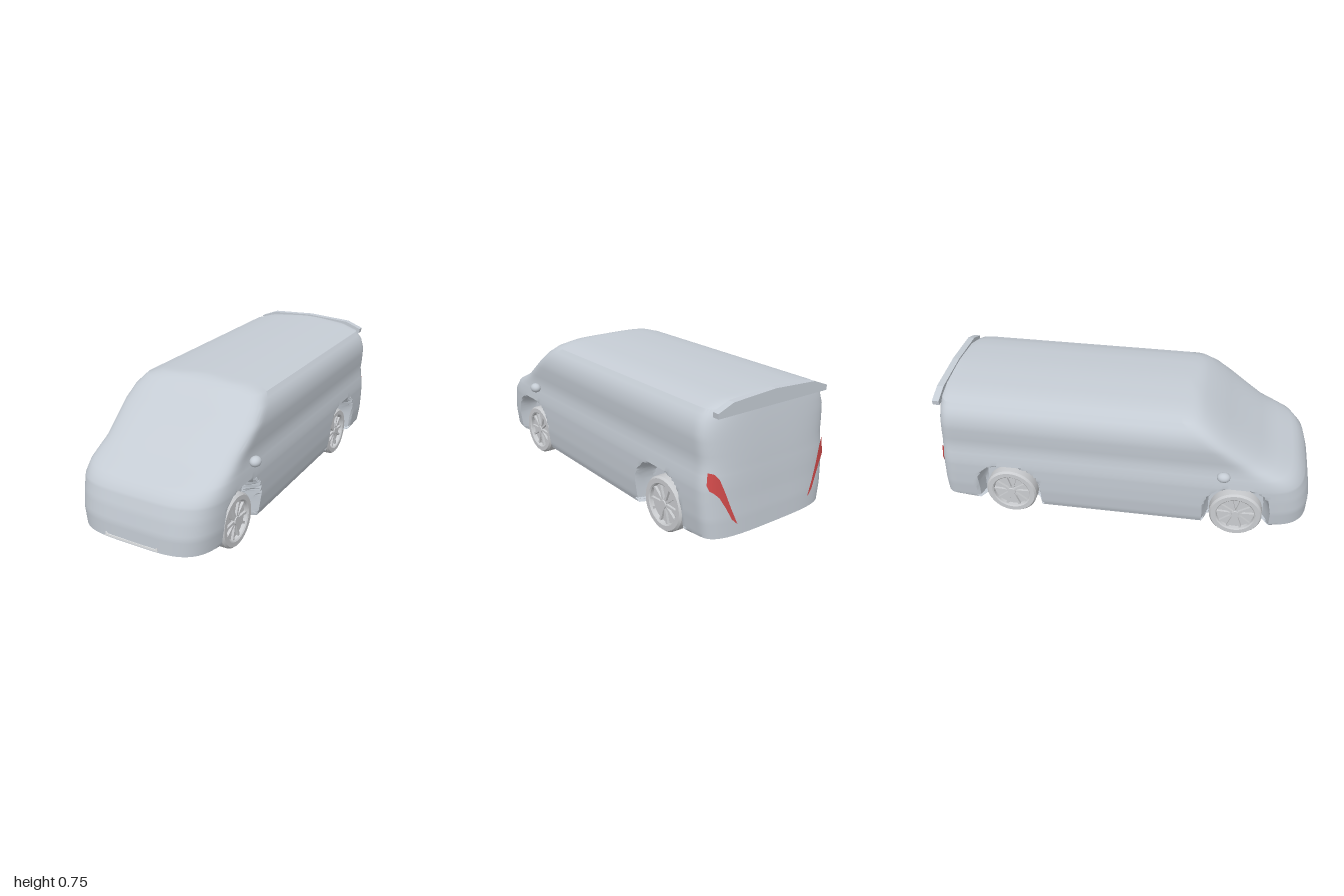
import * as THREE from 'three';
import { toCreasedNormals } from 'three/addons/utils/BufferGeometryUtils.js';

const paint = new THREE.MeshStandardMaterial({ color: 0xc5ccd4 });
paint.name = 'silver paint';
const wheelGrey = new THREE.MeshStandardMaterial({ color: 0xcacccf, side: THREE.DoubleSide });
wheelGrey.name = 'wheel grey';
const red = new THREE.MeshStandardMaterial({ color: 0xd04a4a, side: THREE.DoubleSide });
red.name = 'tail light red';
const pale = new THREE.MeshStandardMaterial({ color: 0xf2f4f6 });
pale.name = 'pale trim';

const AXLES = [0.615, -0.605];
const REAR_CORNER = 0.12;

// Horizontal slices: height, front z, rear z, half width, front corner length
const LEVELS = [
  [0.085, 0.88, -0.82, 0.357, 0.3],
  [0.112, 0.998, -1, 0.367, 0.38],
  [0.2, 0.997, -0.998, 0.38, 0.38],
  [0.28, 0.982, -0.993, 0.385, 0.38],
  [0.35, 0.96, -0.99, 0.387, 0.36],
  [0.4, 0.915, -0.987, 0.382, 0.33],
  [0.425, 0.86, -0.985, 0.378, 0.28],
  [0.47, 0.76, -0.982, 0.375, 0.22],
  [0.53, 0.672, -0.977, 0.382, 0.2],
  [0.6, 0.575, -0.97, 0.387, 0.18],
  [0.66, 0.5, -0.963, 0.372, 0.17],
  [0.705, 0.435, -0.957, 0.338, 0.15],
  [0.73, 0.39, -0.95, 0.26, 0.12],
  [0.742, 0.345, -0.94, 0.1, 0.1],
  [0.745, 0.3, -0.93, 0, 0.1],
];

function levelAt(y) {
  let k = 0;
  while (k < LEVELS.length - 2 && y > LEVELS[k + 1][0]) k++;
  const a = LEVELS[k], b = LEVELS[k + 1];
  const t = (y - a[0]) / (b[0] - a[0]);
  return a.map((v, i) => v + (b[i] - v) * t);
}

// Point on a rounded corner, from 0 (centre of the end) to 90 degrees (side)
function corner(angle, n) {
  const s = Math.sin(angle), c = Math.max(0, Math.cos(angle));
  const r = Math.pow(Math.pow(s, n) + Math.pow(c, n), -1 / n);
  return [s * r, c * r];
}

// Press the side inward around each wheel
function wheelArch(x, y, z) {
  for (const axle of AXLES) {
    const dz = Math.abs(z - axle) / 0.165, dy = Math.max(0, y - 0.145) / 0.19;
    const d = Math.cbrt(dz ** 3 + dy ** 3);
    const push = 1 - THREE.MathUtils.smoothstep(d, 0.9, 1.06);
    x -= push * Math.max(0, x - 0.29);
  }
  return x;
}

// Half of one slice, from the nose to the tail on the +x side
function halfSlice(y) {
  const [, front, rear, w, frontCorner] = levelAt(y);
  const points = [];
  const add = (x, z) => points.push([wheelArch(x, y, z), y, z]);
  for (let i = 0; i <= 40; i++) {
    const [s, c] = corner((i / 40) * Math.PI / 2, 4);
    add(w * s, front - frontCorner + frontCorner * c);
  }
  const z0 = front - frontCorner, z1 = rear + REAR_CORNER;
  for (let i = 1; i < 100; i++) add(w, z0 + (z1 - z0) * i / 100);
  for (let i = 18; i >= 0; i--) {
    const [s, c] = corner((i / 18) * Math.PI / 2, 3.5);
    add(w * s, z1 - REAR_CORNER * c);
  }
  return points;
}

function bodyGeometry() {
  const positions = [], index = [];
  const heights = [];
  for (let k = 0; k < LEVELS.length - 1; k++) {
    const steps = LEVELS[k][0] < 0.35 ? 5 : 2;
    for (let j = 0; j < steps; j++) {
      heights.push(THREE.MathUtils.lerp(LEVELS[k][0], LEVELS[k + 1][0], j / steps));
    }
  }
  heights.push(0.745);
  let count = 0, half = 0;
  for (const y of heights) {
    const side = halfSlice(y);
    const mirrored = side.slice(1, -1).reverse().map(([x, h, z]) => [-x, h, z]);
    half = side.length - 1;
    count = half * 2;
    positions.push(...side.concat(mirrored).flat());
  }
  for (let j = 0; j < heights.length - 1; j++) {
    for (let i = 0; i < count; i++) {
      const n = (i + 1) % count;
      const a = j * count + i, b = j * count + n;
      index.push(a, b, b + count, a, b + count, a + count);
    }
  }
  // Floor, joined straight across
  for (let i = 0; i < half; i++) {
    const l0 = (count - i) % count, l1 = count - i - 1;
    index.push(i, l0, l1, i, l1, i + 1);
  }
  const geometry = new THREE.BufferGeometry();
  geometry.setAttribute('position', new THREE.Float32BufferAttribute(positions, 3));
  geometry.setIndex(index);
  return toCreasedNormals(geometry, 0.6);
}

// Tail light strip wrapped round a rear corner: angle, top, bottom
function tailLightGeometry(side) {
  const stations = [
    [32, 0.17, 0.168], [36, 0.25, 0.2], [40, 0.33, 0.26], [45, 0.4, 0.315],
    [50, 0.425, 0.34], [54, 0.43, 0.35], [58, 0.432, 0.375],
  ];
  const positions = [], index = [];
  stations.forEach(([degrees, top, bottom], i) => {
    for (const y of [top, bottom]) {
      const [, , rear, w] = levelAt(y);
      const [s, c] = corner(degrees * Math.PI / 180, 3.5);
      positions.push(side * (w * s + 0.004), y, rear + REAR_CORNER * (1 - c) - 0.004);
    }
    const a = i * 2;
    if (i > 0) {
      if (side > 0) index.push(a - 2, a, a - 1, a, a + 1, a - 1);
      else index.push(a - 2, a - 1, a, a, a - 1, a + 1);
    }
  });
  const geometry = new THREE.BufferGeometry();
  geometry.setAttribute('position', new THREE.Float32BufferAttribute(positions, 3));
  geometry.setIndex(index);
  geometry.computeVertexNormals();
  return geometry;
}

function mesh(name, geometry, material, parent) {
  const m = new THREE.Mesh(geometry, material);
  m.name = name;
  parent.add(m);
  return m;
}

// Plate cut from an outline in x and y
function plate(points, depth) {
  const shape = new THREE.Shape(points.map(([x, y]) => new THREE.Vector2(x, y)));
  return new THREE.ExtrudeGeometry(shape, { depth, bevelEnabled: false });
}

// Wheel with its axis along y and its outer face at +y
function createWheel() {
  const wheel = new THREE.Group();
  const profile = [
    [0.1, -0.045], [0.128, -0.045], [0.139, -0.034], [0.14, 0], [0.139, 0.034],
    [0.13, 0.045], [0.106, 0.045], [0.1, 0.04], [0.098, 0.022],
  ].map(([r, y]) => new THREE.Vector2(r, y));
  mesh('tyre', toCreasedNormals(new THREE.LatheGeometry(profile, 48), 0.6), wheelGrey, wheel);
  mesh('rimBack', new THREE.CylinderGeometry(0.099, 0.099, 0.004, 40), wheelGrey, wheel).position.y = 0.02;
  mesh('hub', new THREE.CylinderGeometry(0.02, 0.026, 0.02, 20), wheelGrey, wheel).position.y = 0.03;
  for (let i = 0; i < 10; i++) {
    const angle = Math.floor(i / 2) * Math.PI * 0.4 + (i % 2 ? 0.27 : -0.27);
    const spoke = mesh('spoke', new THREE.BoxGeometry(0.082, 0.014, 0.013), wheelGrey, wheel);
    spoke.position.set(Math.cos(angle) * 0.058, 0.028, -Math.sin(angle) * 0.058);
    spoke.rotation.y = angle;
  }
  return wheel;
}

export function createModel() {
  const van = new THREE.Group();
  van.name = 'van';
  mesh('body', bodyGeometry(), paint, van);

  // Rear roof lip following the roof crown
  const lip = [
    [-0.335, 0.68], [0.335, 0.68], [0.338, 0.705], [0.25, 0.739],
    [0, 0.753], [-0.25, 0.739], [-0.338, 0.705],
  ];
  mesh('roofSpoiler', plate(lip, 0.035), paint, van).position.z = -0.968;

  // Slim intake strip on the nose
  const strip = [
    [-0.15, 0.118], [0.15, 0.118], [0.147, 0.14], [0.135, 0.129], [-0.135, 0.129], [-0.147, 0.14],
  ];
  mesh('frontIntake', plate(strip, 0.004), pale, van).position.z = 0.9965;

  for (const side of [1, -1]) {
    const label = side > 0 ? 'left' : 'right';
    mesh(label + 'TailLight', tailLightGeometry(side), red, van);
    const mirror = mesh(label + 'Mirror', new THREE.SphereGeometry(1, 24, 16), paint, van);
    mirror.scale.set(0.028, 0.026, 0.034);
    mirror.position.set(side * 0.398, 0.436, 0.535);
    AXLES.forEach((z, i) => {
      const wheel = createWheel();
      wheel.name = label + (i ? 'RearWheel' : 'FrontWheel');
      wheel.rotation.z = -side * Math.PI / 2;
      wheel.position.set(side * 0.305, 0.14, z);
      van.add(wheel);
    });
  }
  return van;
}
